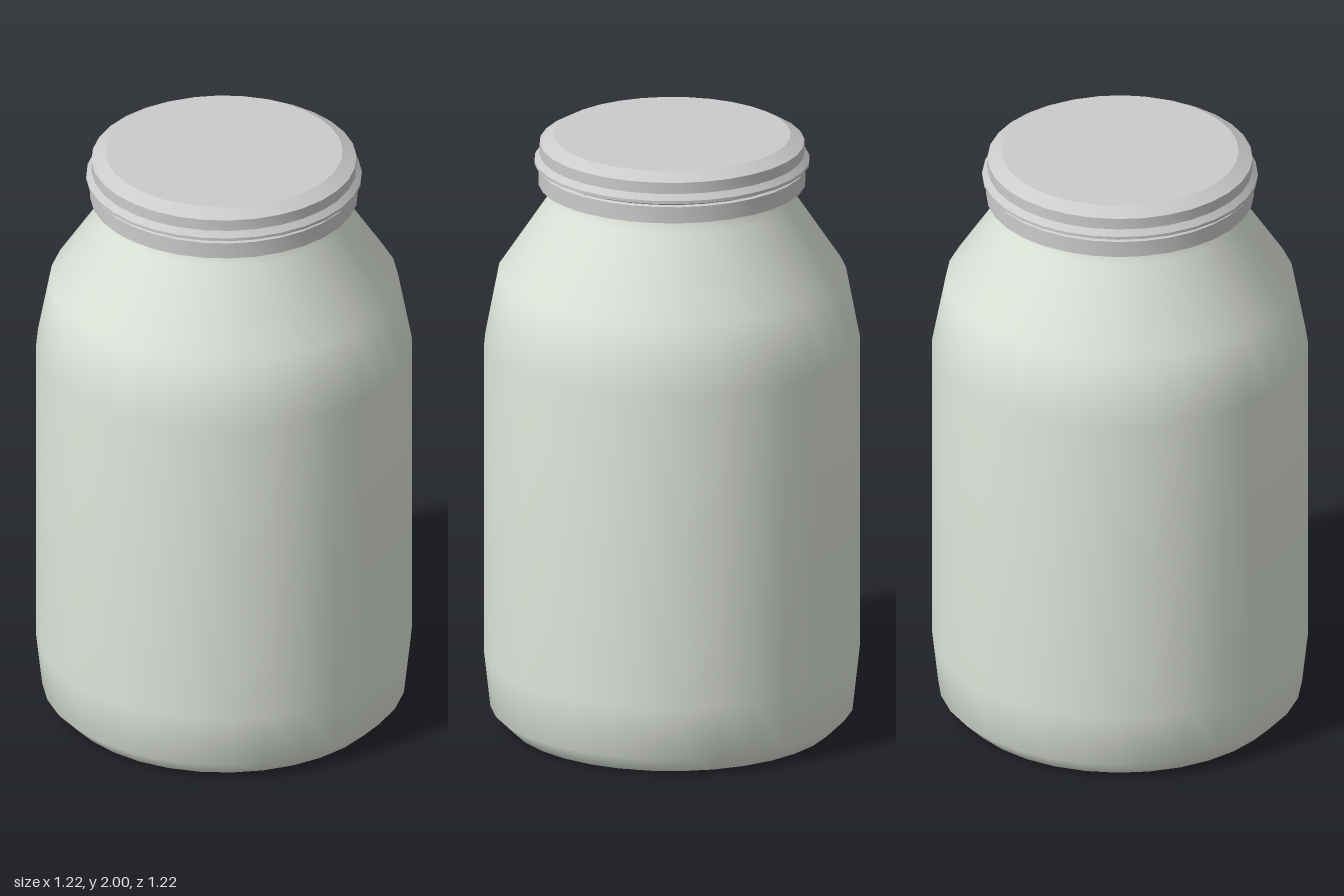
import * as THREE from 'three';
import { toCreasedNormals } from 'three/addons/utils/BufferGeometryUtils.js';

const SIDES = 32;

// Revolve a list of [radius, height] pairs, listed upwards, about the y axis.
const lathe = (profile) =>
  new THREE.LatheGeometry(profile.map(([r, y]) => new THREE.Vector2(r, y)), SIDES);

function addMesh(parent, name, geometry, material) {
  const mesh = new THREE.Mesh(geometry, material);
  mesh.name = name;
  parent.add(mesh);
  return mesh;
}

export function createModel() {
  const model = new THREE.Group();
  model.name = 'jar';
  const glass = new THREE.MeshStandardMaterial({ color: 0xe0e6dc });
  const metal = new THREE.MeshStandardMaterial({ color: 0xcccccc });

  // Smooth glass wall: chamfered foot, straight side, sloping shoulder, neck
  const body = new THREE.Group();
  body.name = 'body';
  model.add(body);
  addMesh(body, 'wall', lathe([
    [0.53, 0], [0.59, 0.06], [0.61, 0.24], [0.61, 1.3],
    [0.565, 1.535], [0.395, 1.79], [0.395, 1.9],
  ]), glass);

  // Flat underside
  const base = addMesh(body, 'base', new THREE.CircleGeometry(0.53, SIDES), glass);
  base.rotation.x = Math.PI / 2;

  // Screw lid: skirt, groove, raised bead, upper band and bevelled top
  addMesh(model, 'lid', toCreasedNormals(lathe([
    [0.39, 1.838], [0.434, 1.838], [0.434, 1.893], [0.425, 1.898],
    [0.447, 1.908], [0.447, 1.918], [0.43, 1.937],
    [0.43, 1.975], [0.385, 2], [0, 2],
  ]), 0.5), metal);

  return model;
}
